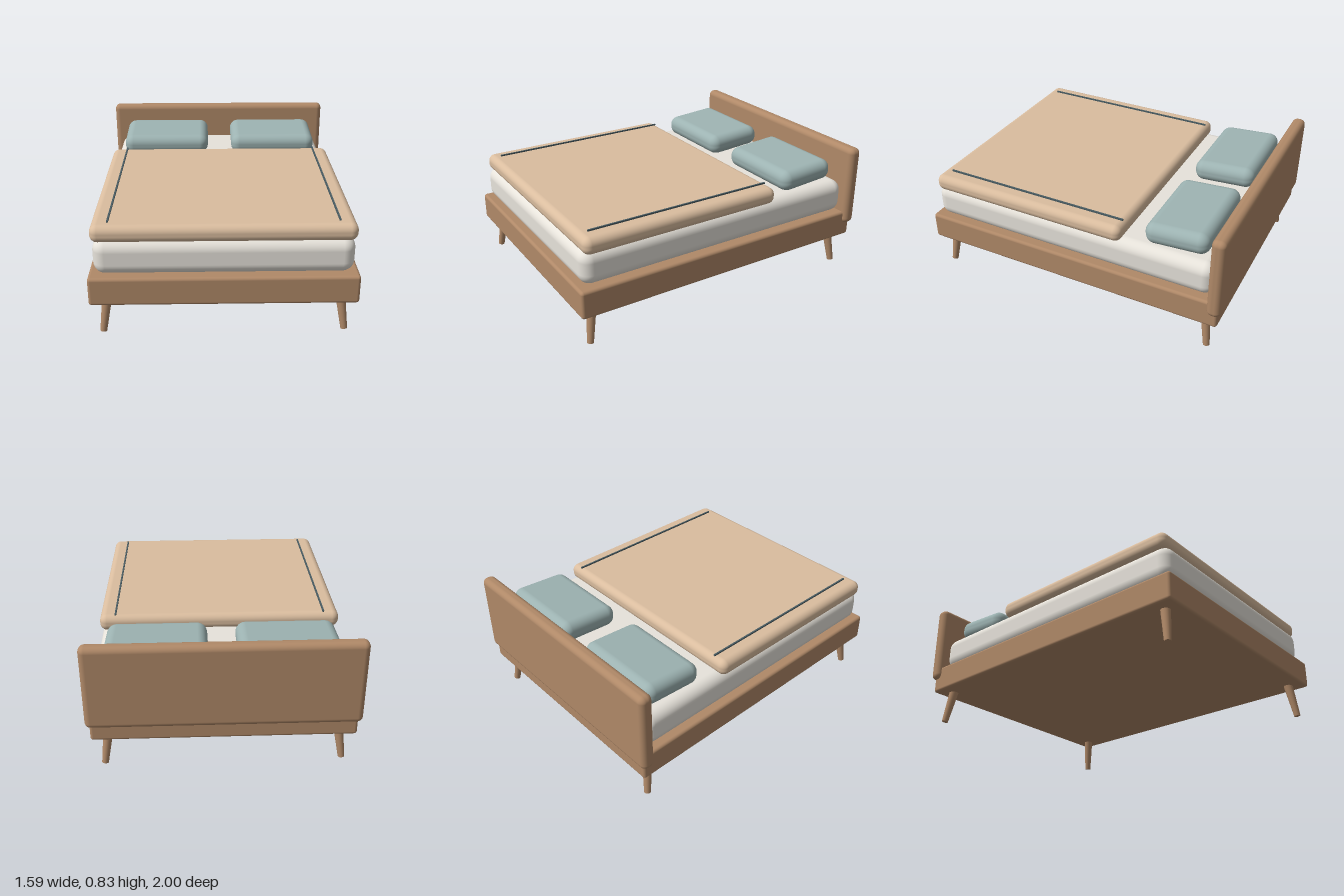
import * as THREE from 'three';
import { RoundedBoxGeometry } from 'three/addons/geometries/RoundedBoxGeometry.js';

const material = (name, color) => {
  const m = new THREE.MeshStandardMaterial({ color });
  m.name = name;
  return m;
};

export function createModel() {
  const wood = material('wood', 0xb08968);
  const linen = material('linen', 0xe8e4dc);
  const blanketTan = material('blanketTan', 0xdabd9f);
  const pillowTeal = material('pillowTeal', 0x9db3b2);
  const trimSlate = material('trimSlate', 0x4a5d63);

  const bed = new THREE.Group();
  bed.name = 'bed';

  const add = (name, geometry, mat, x = 0, y = 0, z = 0) => {
    const mesh = new THREE.Mesh(geometry, mat);
    mesh.name = name;
    mesh.position.set(x, y, z);
    bed.add(mesh);
    return mesh;
  };

  // Rounded block given by its half width and its y and z ranges
  const block = (name, mat, halfX, [y0, y1], [z0, z1], radius) =>
    add(name, new RoundedBoxGeometry(halfX * 2, y1 - y0, z1 - z0, 5, radius), mat,
      0, (y0 + y1) / 2, (z0 + z1) / 2);

  block('frame', wood, 0.77, [0.21, 0.383], [-0.98, 1.0], 0.018);
  block('headboard', wood, 0.795, [0.30, 0.825], [-1.0, -0.915], 0.035);
  block('mattress', linen, 0.74, [0.38, 0.595], [-0.93, 0.97], 0.07);
  block('blanket', blanketTan, 0.75, [0.575, 0.68], [-0.35, 0.955], 0.045);

  for (const side of [1, -1]) {
    const label = side > 0 ? 'left' : 'right';

    // Pillow, tipped up toward the headboard
    const pillow = add(label + 'Pillow', new RoundedBoxGeometry(0.6, 0.135, 0.395, 6, 0.06),
      pillowTeal, side * 0.385, 0.66, -0.667);
    pillow.rotation.x = 0.07;

    // Thin stripe along the blanket edge
    add(label + 'BlanketStripe', new THREE.BoxGeometry(0.01, 0.009, 1.22), trimSlate,
      side * 0.65, 0.6845, 0.28);

    // Tapered legs splayed outward
    for (const [end, topZ, footZ] of [['Front', 0.899, 0.93], ['Back', -0.879, -0.91]]) {
      const top = new THREE.Vector3(side * 0.674, 0.23, topZ);
      const foot = new THREE.Vector3(side * 0.705, 0.003, footZ);
      const axis = top.clone().sub(foot);
      const leg = add(label + end + 'Leg',
        new THREE.CylinderGeometry(0.03, 0.02, axis.length(), 20), wood);
      leg.position.copy(top).add(foot).multiplyScalar(0.5);
      leg.quaternion.setFromUnitVectors(new THREE.Vector3(0, 1, 0), axis.normalize());
    }
  }

  return bed;
}
